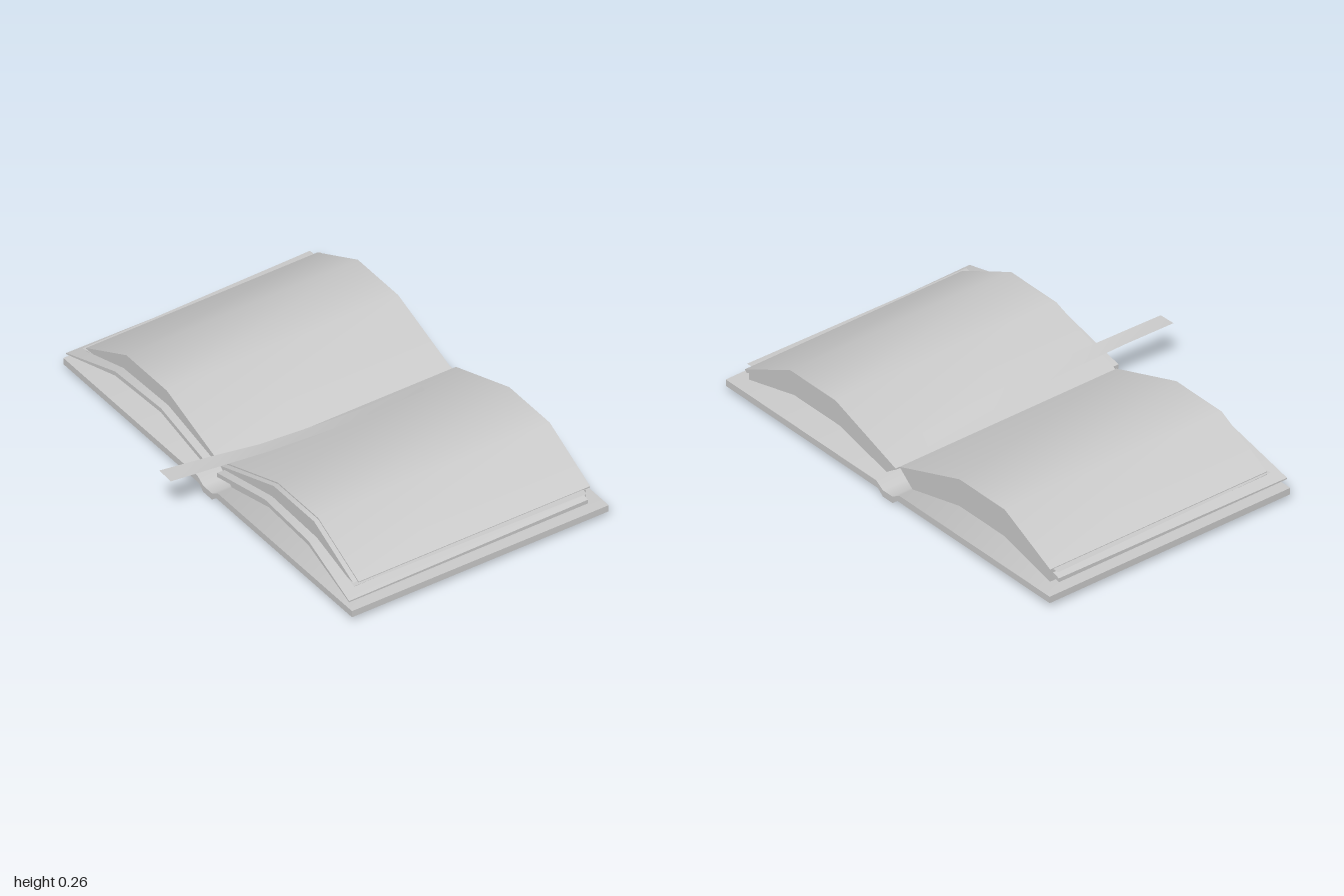
import * as THREE from 'three';
import { toCreasedNormals } from 'three/addons/utils/BufferGeometryUtils.js';

const material = new THREE.MeshStandardMaterial({ color: 0xcccccc });
const thinMaterial = new THREE.MeshStandardMaterial({ color: 0xcccccc, side: THREE.DoubleSide });

function addMesh(group, name, geometry, mat = material) {
  const mesh = new THREE.Mesh(toCreasedNormals(geometry, 0.65), mat);
  mesh.name = name;
  group.add(mesh);
}

// Extrude a [z, y] profile along x from x0 to x1
function extrudeX(profile, x0, x1) {
  const shape = new THREE.Shape(profile.map(([z, y]) => new THREE.Vector2(z, y)));
  const geometry = new THREE.ExtrudeGeometry(shape, { depth: x1 - x0, bevelEnabled: false });
  return geometry.rotateY(-Math.PI / 2).translate(x1, 0, 0);
}

// Join equal-sized sections of [x, y, z] points; closed sections get end caps
function loft(sections, closed) {
  const n = sections[0].length;
  const index = [];
  for (let i = 0; i < sections.length - 1; i++) {
    for (let j = 0; j < (closed ? n : n - 1); j++) {
      const a = i * n + j, b = i * n + (j + 1) % n;
      index.push(a, b, a + n, b, b + n, a + n);
    }
  }
  if (closed) {
    const e = (sections.length - 1) * n;
    for (let j = 1; j < n - 1; j++) index.push(0, j + 1, j, e, e + j, e + j + 1);
  }
  const geometry = new THREE.BufferGeometry();
  geometry.setAttribute('position', new THREE.Float32BufferAttribute(sections.flat(2), 3));
  geometry.setIndex(index);
  geometry.computeVertexNormals();
  return geometry;
}

export function createModel() {
  const book = new THREE.Group();
  book.name = 'openBook';

  // Cover boards with the sunken spine between them
  addMesh(book, 'cover', extrudeX([
    [1, 0.055], [0.07, 0.055], [0.03, 0.03], [-0.03, 0.03], [-0.07, 0.055], [-1, 0.055],
    [-1, 0.025], [-0.06, 0.025], [-0.03, 0], [0.03, 0], [0.06, 0.025], [1, 0.025],
  ], -0.5, 0.72));

  const pageTop = [[0, 0.13], [0.37, 0.26], [0.65, 0.26], [0.93, 0.122]];
  const pageBottom = [[0.93, 0.065], [0.65, 0.135], [0.37, 0.135], [0.08, 0.065]];

  for (const side of [1, -1]) {
    const half = new THREE.Group();
    half.name = side > 0 ? 'frontPages' : 'backPages';
    book.add(half);
    const flip = (points) => points.map(([z, y]) => [z * side, y]);

    // Main page block, lowered slightly at the front to carry the top page
    const drop = side > 0 ? 0.008 : 0;
    const top = pageTop.map(([z, y]) => [z, y - drop]);
    addMesh(half, 'pageBlock', extrudeX(flip([...top, ...pageBottom]), -0.44, 0.66));

    // Shifted top page
    if (side > 0) {
      const under = top.map(([z, y]) => [z, y + 0.002]).reverse();
      addMesh(half, 'topPage', extrudeX([...pageTop, ...under], -0.42, 0.68));
    }

    // Skewed bundle of pages: left x, left z, right z, y, left and right thickness
    const stations = [
      [-0.50, 0.98, 0.965, 0.092, 0.006, 0.018],
      [-0.48, 0.67, 0.67, 0.185, 0.02, 0.02],
      [-0.475, 0.36, 0.36, 0.195, 0.02, 0.02],
      [-0.475, 0.03, 0.03, 0.12, 0.02, 0.02],
    ];
    if (side < 0) stations.reverse();
    addMesh(half, 'loosePages', loft(stations.map(([x, zl, zr, y, tl, tr]) => [
      [x, y, zl * side], [x, y - tl, zl * side],
      [0.645, y - tr, zr * side], [0.645, y, zr * side],
    ]), true), thinMaterial);

    // Thin page edge sticking out at the fore edge
    addMesh(half, 'looseLeaf', loft([
      [[-0.45, 0.118, 0.94 * side], [0.645, 0.118, 0.96 * side]],
      [[-0.44, 0.121, 0.88 * side], [0.645, 0.121, 0.88 * side]],
    ], false), thinMaterial);
  }

  // Ribbon bookmark: x and z of inner and outer edges with their heights
  const ribbon = [
    [-0.73, 0.00, 0.222, -0.73, 0.08, 0.218],
    [-0.50, 0.022, 0.207, -0.50, 0.098, 0.208],
    [-0.28, 0.042, 0.186, -0.28, 0.115, 0.198],
    [0.00, 0.046, 0.168, 0.00, 0.119, 0.184],
    [0.20, 0.044, 0.156, 0.20, 0.116, 0.177],
    [0.50, 0.026, 0.139, 0.55, 0.085, 0.158],
  ];
  addMesh(book, 'ribbonBookmark', loft(ribbon.map(([xa, za, ya, xb, zb, yb]) => [
    [xa, ya, za], [xb, yb, zb],
  ]), false), thinMaterial);

  return book;
}
